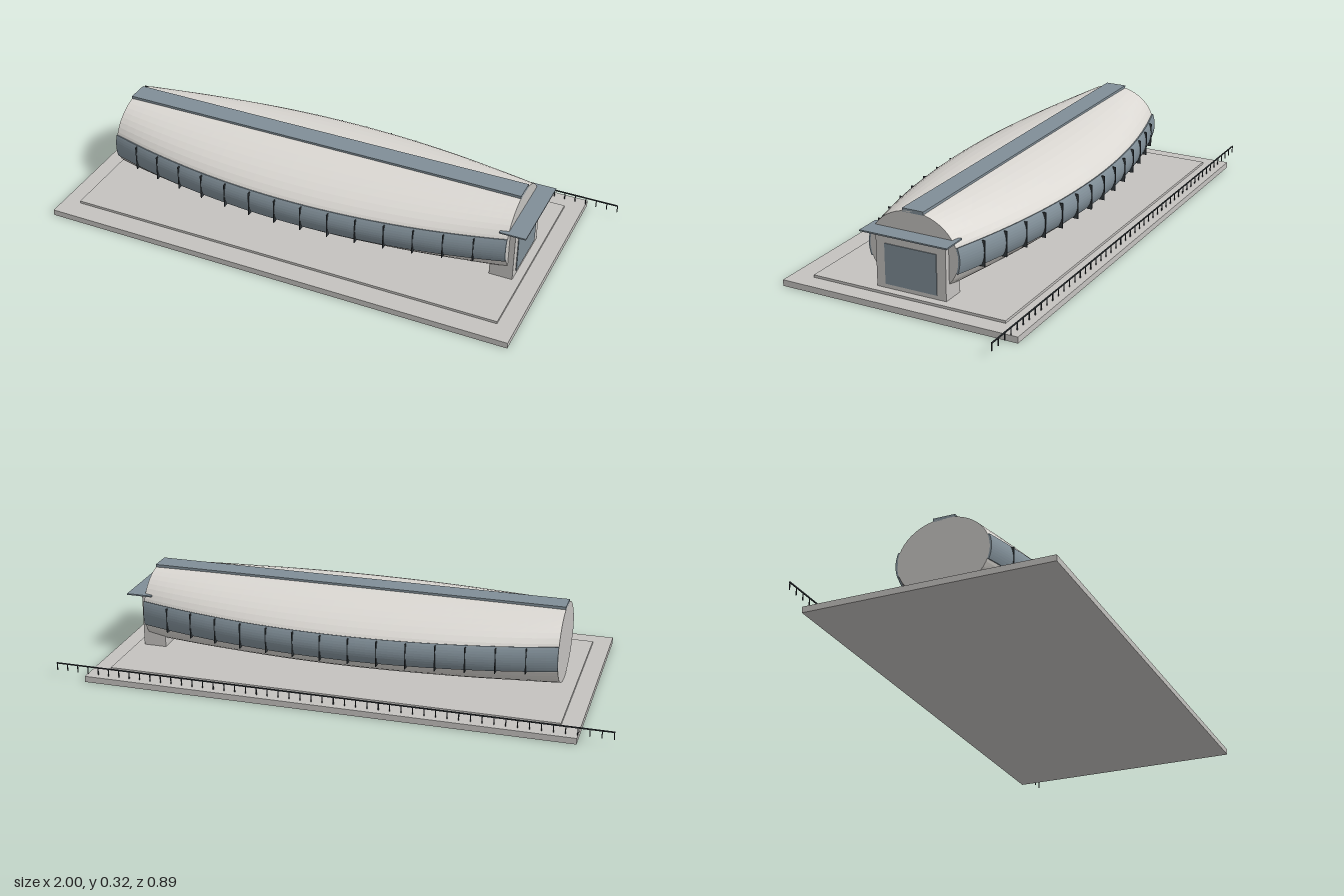
import * as THREE from 'three';

const mat = (name, color) => Object.assign(new THREE.MeshStandardMaterial({ color }), { name });

const HALF = 0.765, CY = 0.171, RY = 0.14;
// half width of the hull along its length
const halfWidth = x => 0.285 - 0.118 * (x / HALF) ** 2;

// points [z, y] on the hull's ellipse, from angle a0 to a1
function arc(x, a0, a1, n, offset) {
  const pts = [];
  for (let i = 0; i <= n; i++) {
    const a = a0 + (a1 - a0) * i / n;
    pts.push([(halfWidth(x) + offset) * Math.cos(a), CY + (RY + offset) * Math.sin(a)]);
  }
  return pts;
}

// loft closed cross-sections along x; group 0 is the skin, group 1 the end caps
function loft(section, steps) {
  const pos = [];
  const rings = [];
  for (let i = 0; i <= steps; i++) {
    const x = -HALF + 2 * HALF * i / steps;
    rings.push(section(x).map(([z, y]) => [x, y, z]));
  }
  const n = rings[0].length;
  for (let i = 0; i < steps; i++) {
    for (let j = 0; j < n; j++) {
      const k = (j + 1) % n;
      const a = rings[i][j], b = rings[i + 1][j], c = rings[i + 1][k], d = rings[i][k];
      pos.push(...a, ...b, ...c, ...a, ...c, ...d);
    }
  }
  const skin = pos.length / 3;
  const flat = rings[0].map(p => new THREE.Vector2(p[2], p[1]));
  for (const [a, b, c] of THREE.ShapeUtils.triangulateShape(flat, [])) {
    const ccw = THREE.ShapeUtils.area([flat[a], flat[b], flat[c]]) > 0;
    const tri = ccw ? [a, b, c] : [a, c, b];
    tri.forEach(v => pos.push(...rings[0][v]));
    [...tri].reverse().forEach(v => pos.push(...rings[steps][v]));
  }
  const geo = new THREE.BufferGeometry();
  geo.setAttribute('position', new THREE.Float32BufferAttribute(pos, 3));
  geo.computeVertexNormals();
  geo.addGroup(0, skin, 0);
  geo.addGroup(skin, pos.length / 3 - skin, 1);
  return geo;
}

export function createModel() {
  const model = new THREE.Group();
  model.name = 'hall';
  const concrete = mat('concrete', 0xc4c2bf);
  const cladding = mat('pale cladding', 0xdad7d2);
  const glass = mat('blue grey glass', 0x808e97);
  const metal = mat('dark metal', 0x33393d);

  const add = (parent, name, geo, material) => {
    const mesh = new THREE.Mesh(geo, material);
    mesh.name = name;
    parent.add(mesh);
    return mesh;
  };
  // box given by its min and max on each axis
  const box = (parent, name, material, x0, x1, y0, y1, z0, z1) => {
    const m = add(parent, name, new THREE.BoxGeometry(x1 - x0, y1 - y0, z1 - z0), material);
    m.position.set((x0 + x1) / 2, (y0 + y1) / 2, (z0 + z1) / 2);
    return m;
  };

  // stepped plinth
  box(model, 'lowerSlab', concrete, -0.88, 0.88, 0, 0.022, -0.445, 0.445);
  box(model, 'upperSlab', concrete, -0.815, 0.815, 0.022, 0.031, -0.366, 0.366);

  // bulging hull with flat ends
  add(model, 'hull', loft(x => arc(x, 0, 2 * Math.PI, 48, 0).slice(0, -1), 40), [cladding, concrete]);

  // roof light strip along the ridge
  box(model, 'roofStrip', glass, -HALF, HALF, 0.304, 0.317, -0.04, 0.04);

  // window bands with upright mullions on both long sides
  for (const side of [1, -1]) {
    const windows = new THREE.Group();
    windows.name = side > 0 ? 'frontWindows' : 'backWindows';
    model.add(windows);
    const mid = side > 0 ? 0 : Math.PI;
    const band = x => [
      ...arc(x, mid - 0.32, mid + 0.32, 10, 0.006),
      ...arc(x, mid + 0.32, mid - 0.32, 10, -0.003),
    ];
    add(windows, 'windowBand', loft(band, 40), [glass, glass]);
    for (let i = 0; i < 14; i++) {
      const x = (i - 6.5) * 0.1015;
      const z = side * (halfWidth(x) - 0.002);
      box(windows, 'mullion', metal, x - 0.0015, x + 0.0015, 0.12, 0.212, z - 0.01, z + 0.01);
    }
  }

  // entrance porch at the left end
  const entrance = new THREE.Group();
  entrance.name = 'entrance';
  model.add(entrance);
  box(entrance, 'porch', concrete, 0.7, 0.785, 0.031, 0.23, -0.132, 0.132);
  box(entrance, 'door', glass, 0.783, 0.788, 0.046, 0.19, -0.098, 0.098);
  box(entrance, 'canopy', glass, 0.735, 0.83, 0.235, 0.24, -0.164, 0.164);

  // long railing behind the hall
  const railing = new THREE.Group();
  railing.name = 'railing';
  model.add(railing);
  box(railing, 'topRail', metal, -1, 1, 0.047, 0.051, -0.422, -0.418);
  for (let i = 0; i <= 50; i++) {
    const x = -0.9985 + i * 1.997 / 50;
    box(railing, 'post', metal, x - 0.0015, x + 0.0015, 0.022, 0.049, -0.4215, -0.4185);
  }
  return model;
}
